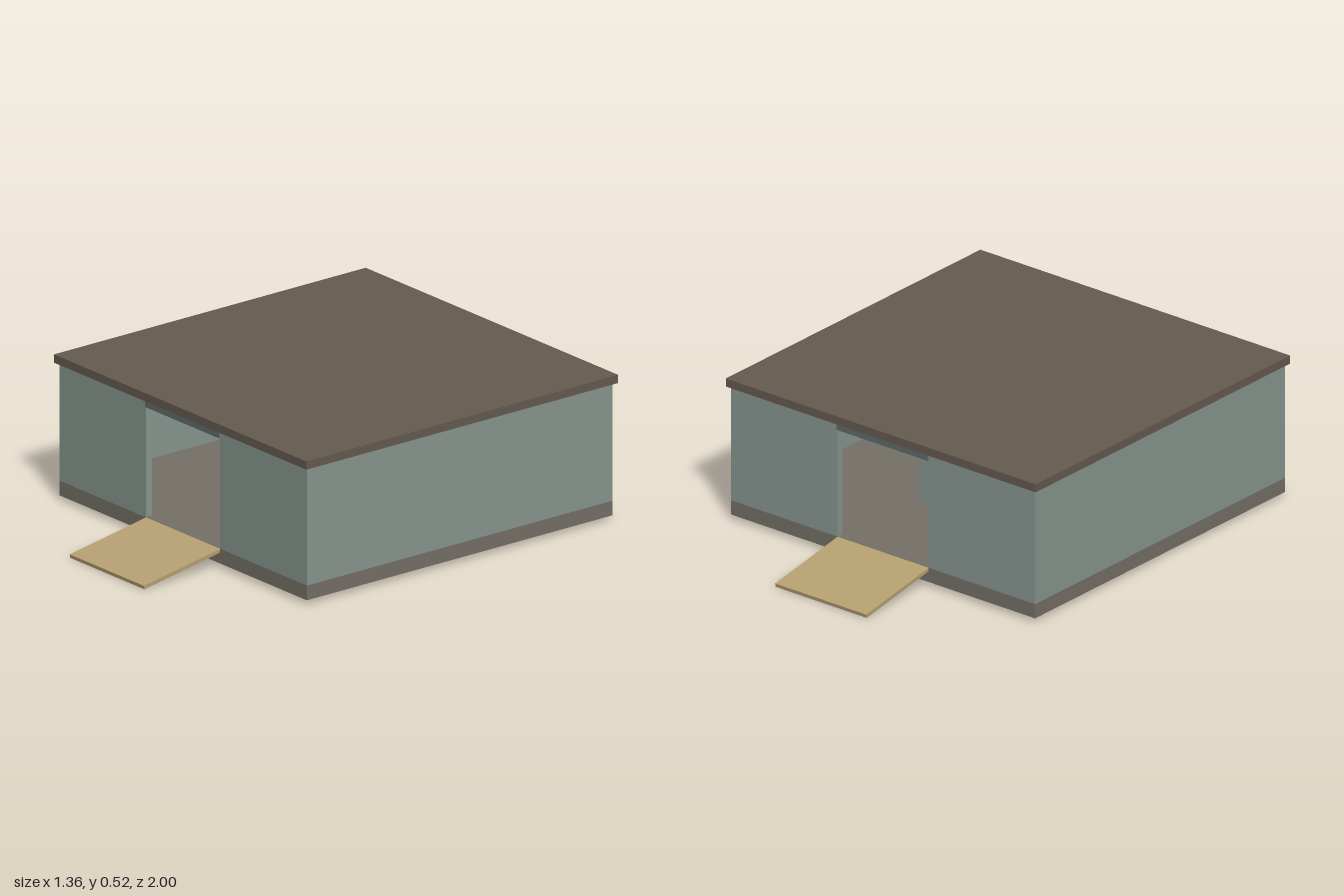
import * as THREE from 'three';

const material = (color) => new THREE.MeshStandardMaterial({ color });

export function createModel() {
  const model = new THREE.Group();
  const wall = material(0x889690);
  const trim = material(0x5f6b6b);
  const floor = material(0x757067);
  const roof = material(0x655b50);
  const wood = material(0xb8a173);

  // Box given by its lower and upper corners
  function box(name, mat, [x0, y0, z0], [x1, y1, z1], parent = model) {
    const mesh = new THREE.Mesh(new THREE.BoxGeometry(x1 - x0, y1 - y0, z1 - z0), mat);
    mesh.position.set((x0 + x1) / 2, (y0 + y1) / 2, (z0 + z1) / 2);
    mesh.name = name;
    parent.add(mesh);
    return mesh;
  }

  const H = 0.667;      // half width of the building
  const T = 0.027;      // wall thickness
  const D = 0.2;        // half width of a doorway
  const base = 0.07, top = 0.495;

  box('floorSlab', floor, [-H, 0.017, -H], [H, base, H]);
  box('roofSlab', roof, [-0.68, top, -0.68], [0.68, 0.525, 0.68]);

  // Each half is the other turned by 180 degrees
  ['front', 'back'].forEach((side, i) => {
    const half = new THREE.Group();
    half.name = side + 'Half';
    half.rotation.y = i * Math.PI;
    model.add(half);

    // Outer walls around the doorway
    box('doorWallRight', wall, [-H, base, H - T], [-D, top, H], half);
    box('doorWallLeft', wall, [D, base, H - T], [H, top, H], half);
    box('sideWall', wall, [H - T, base, -H + T], [H, top, H - T], half);
    box('doorHeader', trim, [-D, 0.47, H - T], [D, top, H + 0.005], half);

    // Inner screen wall that hides the view through the building
    box('screenWall', wall, [-0.18, base, 0.26 - T], [H - T, top, 0.26], half);

    // Sloping entrance ramp, a thin profile extruded across the doorway
    const profile = new THREE.Shape([
      new THREE.Vector2(-H, 0.057), new THREE.Vector2(-H, base),
      new THREE.Vector2(-1, 0.013), new THREE.Vector2(-0.998, 0),
    ]);
    const geometry = new THREE.ExtrudeGeometry(profile, { depth: 2 * D, bevelEnabled: false });
    geometry.translate(0, 0, -D);
    geometry.rotateY(Math.PI / 2);
    const ramp = new THREE.Mesh(geometry, wood);
    ramp.name = 'ramp';
    half.add(ramp);
  });

  return model;
}
